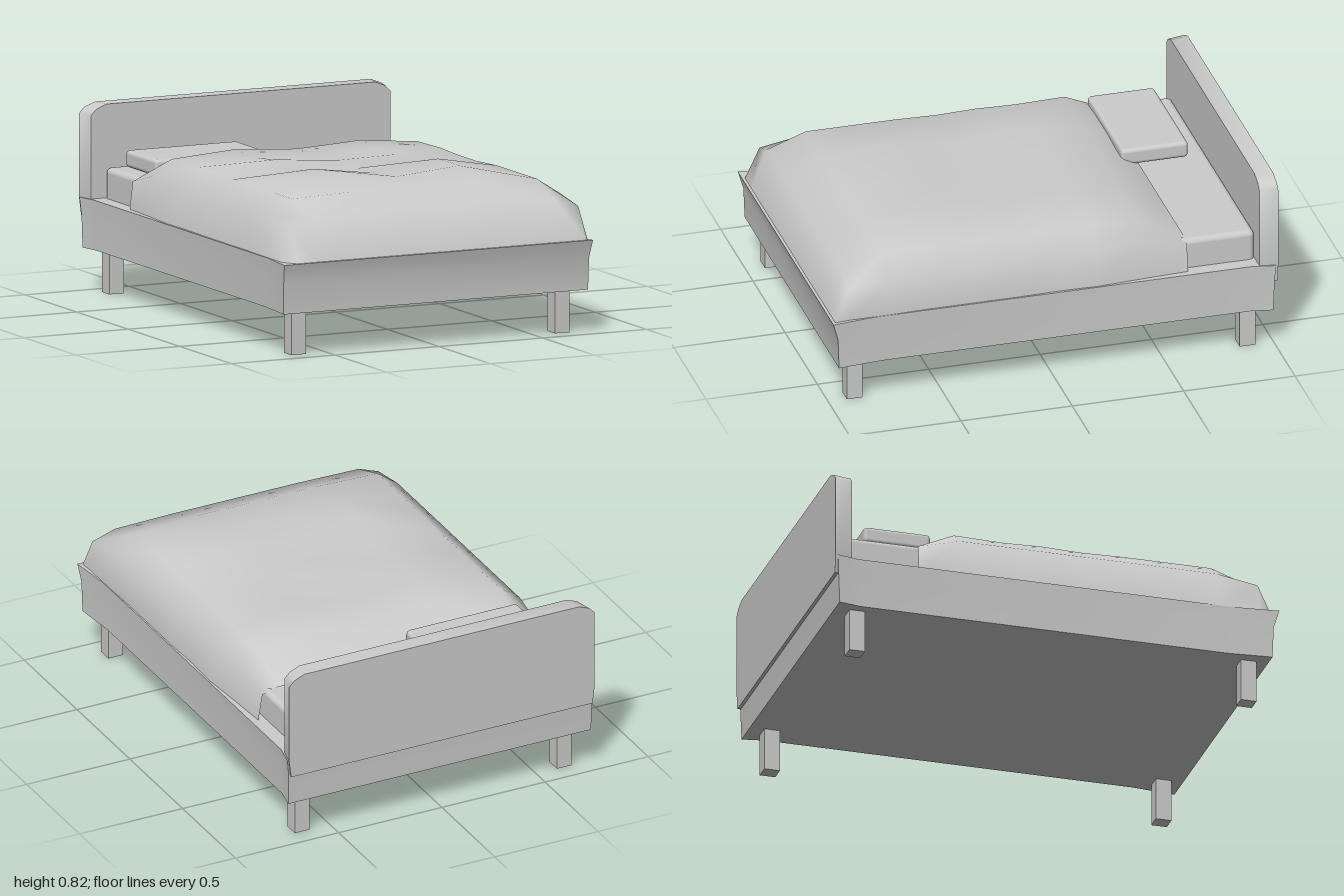
import * as THREE from 'three';
import { toCreasedNormals } from 'three/addons/utils/BufferGeometryUtils.js';
import { RoundedBoxGeometry } from 'three/addons/geometries/RoundedBoxGeometry.js';

const material = new THREE.MeshStandardMaterial({ color: 0xcccccc });
const clothMaterial = new THREE.MeshStandardMaterial({ color: 0xcccccc, side: THREE.DoubleSide });

function buildGeometry(positions, index) {
  const g = new THREE.BufferGeometry();
  g.setAttribute('position', new THREE.Float32BufferAttribute(positions, 3));
  g.setIndex(index);
  g.computeVertexNormals();
  return g;
}

// Closed solid through horizontal rings of [x, y, z] points, counterclockwise from above
function loft(rings) {
  const n = rings[0].length, index = [];
  const positions = rings.flat(2);
  for (let r = 0; r < rings.length - 1; r++) {
    for (let i = 0; i < n; i++) {
      const a = r * n + i, b = r * n + (i + 1) % n;
      index.push(a, b, a + n, b, b + n, a + n);
    }
  }
  const bottom = positions.length / 3, top = bottom + 1, last = (rings.length - 1) * n;
  positions.push(0, rings[0][0][1], 0, 0, rings.at(-1)[0][1], 0);
  for (let i = 0; i < n; i++) {
    const j = (i + 1) % n;
    index.push(bottom, j, i, top, last + i, last + j);
  }
  return toCreasedNormals(buildGeometry(positions, index), 0.8);
}

// Upholstered base outline: straight sides that flare at the corners
function frameRing(y, side, corner, front, back) {
  const half = [[corner, front], [side, front - 0.2], [side, back + 0.1], [corner, back]];
  const mirrored = half.map(([x, z]) => [-x, z]).reverse();
  return [...half, ...mirrored].map(([x, z]) => [x, y, z]);
}

function headboardGeometry() {
  const half = [[0.73, 0.33], [0.74, 0.41], [0.74, 0.775], [0.715, 0.8], [0.665, 0.82]];
  const outline = [...half, ...half.map(([x, y]) => [-x, y]).reverse()];
  const shape = new THREE.Shape(outline.map(([x, y]) => new THREE.Vector2(x, y)));
  const g = new THREE.ExtrudeGeometry(shape, { depth: 0.08, bevelEnabled: false });
  // The front face is slightly narrower than the back
  const p = g.attributes.position;
  for (let i = 0; i < p.count; i++) if (p.getZ(i) > 0.04) p.setX(i, p.getX(i) * 0.975);
  g.translate(0, 0, -1);
  return toCreasedNormals(g, 0.8);
}

// Draped cover: cross-sections from foot to head
function blanketGeometry() {
  // z, hem half width, shoulder height, then heights across the top
  const rows = [
    [0.985, 0.725, 0.41, 0.41, 0.41, 0.41, 0.41, 0.41],
    [0.92, 0.72, 0.55, 0.585, 0.59, 0.59, 0.59, 0.585],
    [0.74, 0.72, 0.58, 0.65, 0.66, 0.66, 0.66, 0.65],
    [0.55, 0.715, 0.58, 0.65, 0.69, 0.675, 0.7, 0.65],
    [0.35, 0.715, 0.58, 0.65, 0.7, 0.66, 0.7, 0.65],
    [0.15, 0.715, 0.58, 0.645, 0.66, 0.65, 0.66, 0.64],
    [-0.02, 0.71, 0.58, 0.65, 0.685, 0.66, 0.665, 0.64],
    [-0.2, 0.715, 0.58, 0.645, 0.665, 0.645, 0.665, 0.645],
    [-0.42, 0.7, 0.58, 0.65, 0.67, 0.65, 0.665, 0.64],
    [-0.61, 0.69, 0.53, 0.55, 0.55, 0.55, 0.55, 0.55],
  ];
  const topX = [-0.58, -0.28, 0.02, 0.32, 0.6];
  const positions = [], index = [], n = topX.length + 4;
  rows.forEach(([z, hem, shoulder, ...heights], r) => {
    const right = hem - (z < 0 ? 0.02 : 0.01);
    positions.push(-hem, 0.405, z, -0.675, shoulder, z);
    topX.forEach((x, i) => positions.push(x, heights[i], z));
    positions.push(right, shoulder, z, hem, 0.405, z);
    if (r === rows.length - 1) return;
    for (let c = 0; c < n - 1; c++) {
      const a = r * n + c;
      index.push(a, a + 1, a + n, a + 1, a + n + 1, a + n);
    }
  });
  return buildGeometry(positions, index);
}

export function createModel() {
  const bed = new THREE.Group();
  bed.name = 'bed';
  const add = (name, geometry, x = 0, y = 0, z = 0, mat = material) => {
    const mesh = new THREE.Mesh(geometry, mat);
    mesh.name = name;
    mesh.position.set(x, y, z);
    bed.add(mesh);
  };

  add('bedFrame', loft([
    frameRing(0.19, 0.715, 0.733, 0.97, -0.98),
    frameRing(0.33, 0.718, 0.735, 0.975, -0.985),
    frameRing(0.41, 0.722, 0.743, 0.998, -0.99),
  ]));
  add('headboard', headboardGeometry());
  add('mattress', new RoundedBoxGeometry(1.31, 0.175, 1.72, 3, 0.025), 0, 0.4575, -0.06);
  add('blanket', blanketGeometry(), 0, 0, 0, clothMaterial);
  add('pillow', new RoundedBoxGeometry(0.54, 0.075, 0.3, 3, 0.018), -0.333, 0.5925, -0.68);

  // Four square legs
  const leg = new THREE.BoxGeometry(0.07, 0.2, 0.07);
  for (const [side, x] of [['Left', 0.635], ['Right', -0.635]]) {
    add('front' + side + 'Leg', leg, x, 0.1, 0.882);
    add('back' + side + 'Leg', leg, x, 0.1, -0.882);
  }
  return bed;
}
